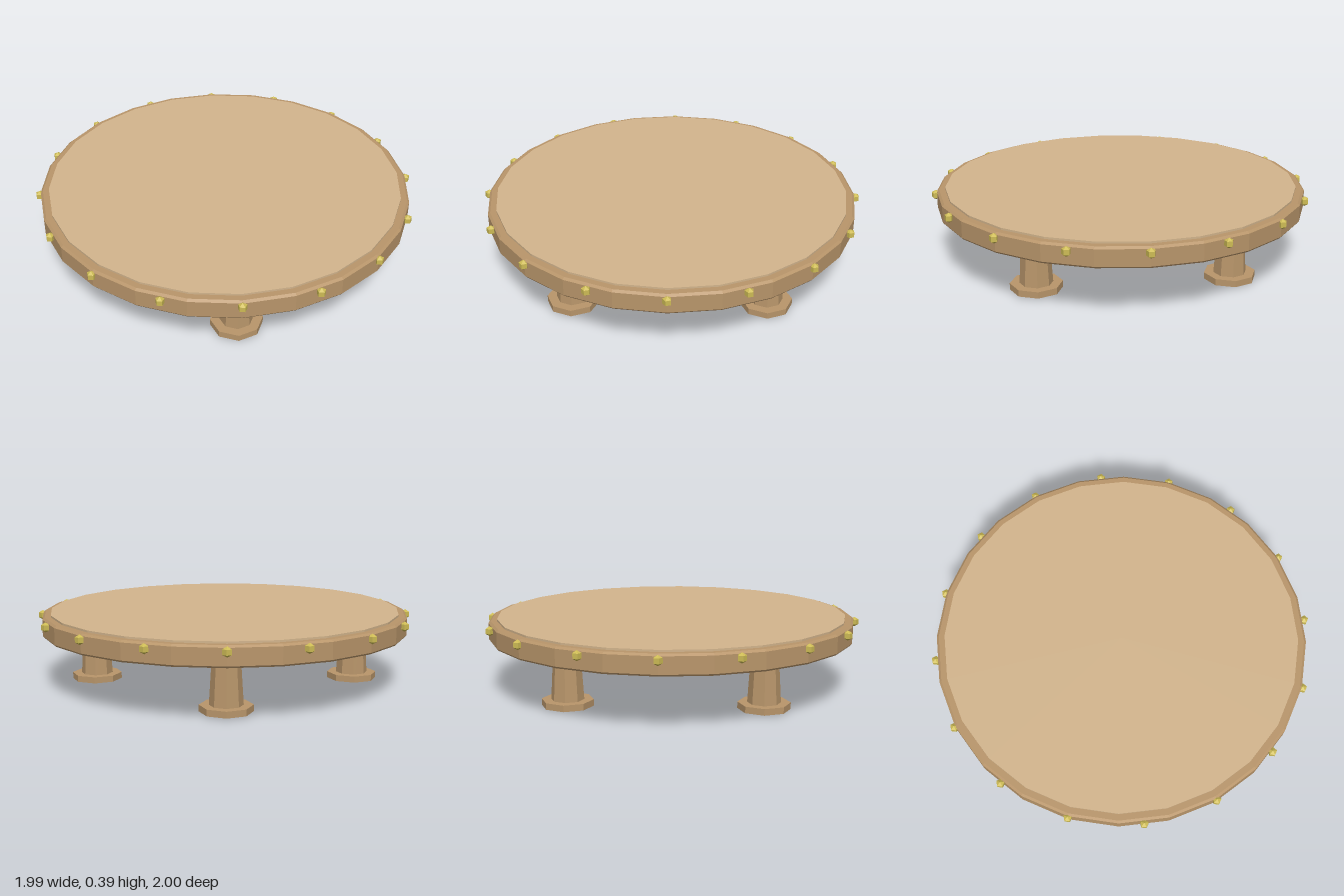
import * as THREE from 'three';

const SIDES = 24, STUDS = 16;
const wood = new THREE.MeshStandardMaterial({ color: 0xb8956a, flatShading: true });
const topWood = new THREE.MeshStandardMaterial({ color: 0xd2b48c, flatShading: true });
const brass = new THREE.MeshStandardMaterial({ color: 0xcdbb55, flatShading: true });

function add(parent, name, geometry, material, x = 0, y = 0, z = 0) {
  const mesh = new THREE.Mesh(geometry, material);
  mesh.name = name;
  mesh.position.set(x, y, z);
  parent.add(mesh);
  return mesh;
}

// Cylinder given by its lower and upper heights
function drum(parent, name, rTop, rBottom, y0, y1, sides, material) {
  return add(parent, name, new THREE.CylinderGeometry(rTop, rBottom, y1 - y0, sides), material, 0, (y0 + y1) / 2, 0);
}

export function createModel() {
  const table = new THREE.Group();
  table.name = 'lowRoundTable';

  // Thick rim with small chamfers, closed underneath
  const profile = [[0, 0.278], [0.965, 0.278], [0.972, 0.287], [0.972, 0.372], [0.96, 0.382], [0.9, 0.382]]
    .map(([r, y]) => new THREE.Vector2(r, y));
  add(table, 'rim', new THREE.LatheGeometry(profile, SIDES), wood);

  // Slightly raised top and the small plate under its centre
  drum(table, 'tabletop', 0.928, 0.928, 0.36, 0.392, SIDES, topWood);
  drum(table, 'undersidePlate', 0.128, 0.128, 0.268, 0.29, 12, wood);

  // Studs around the rim
  const studGeometry = new THREE.SphereGeometry(0.026, 5, 3);
  for (let i = 0; i < STUDS; i++) {
    const a = (i / STUDS) * Math.PI * 2;
    add(table, 'stud', studGeometry, brass, 0.977 * Math.sin(a), 0.355, 0.977 * Math.cos(a));
  }

  // Four tapered octagonal legs on flat feet
  for (const x of [-0.49, 0.49]) {
    for (const z of [-0.49, 0.49]) {
      const leg = new THREE.Group();
      leg.name = 'leg';
      leg.position.set(x, 0, z);
      drum(leg, 'legPost', 0.068, 0.086, 0, 0.29, 8, wood);
      drum(leg, 'foot', 0.132, 0.132, 0.005, 0.038, 8, wood);
      table.add(leg);
    }
  }
  return table;
}
